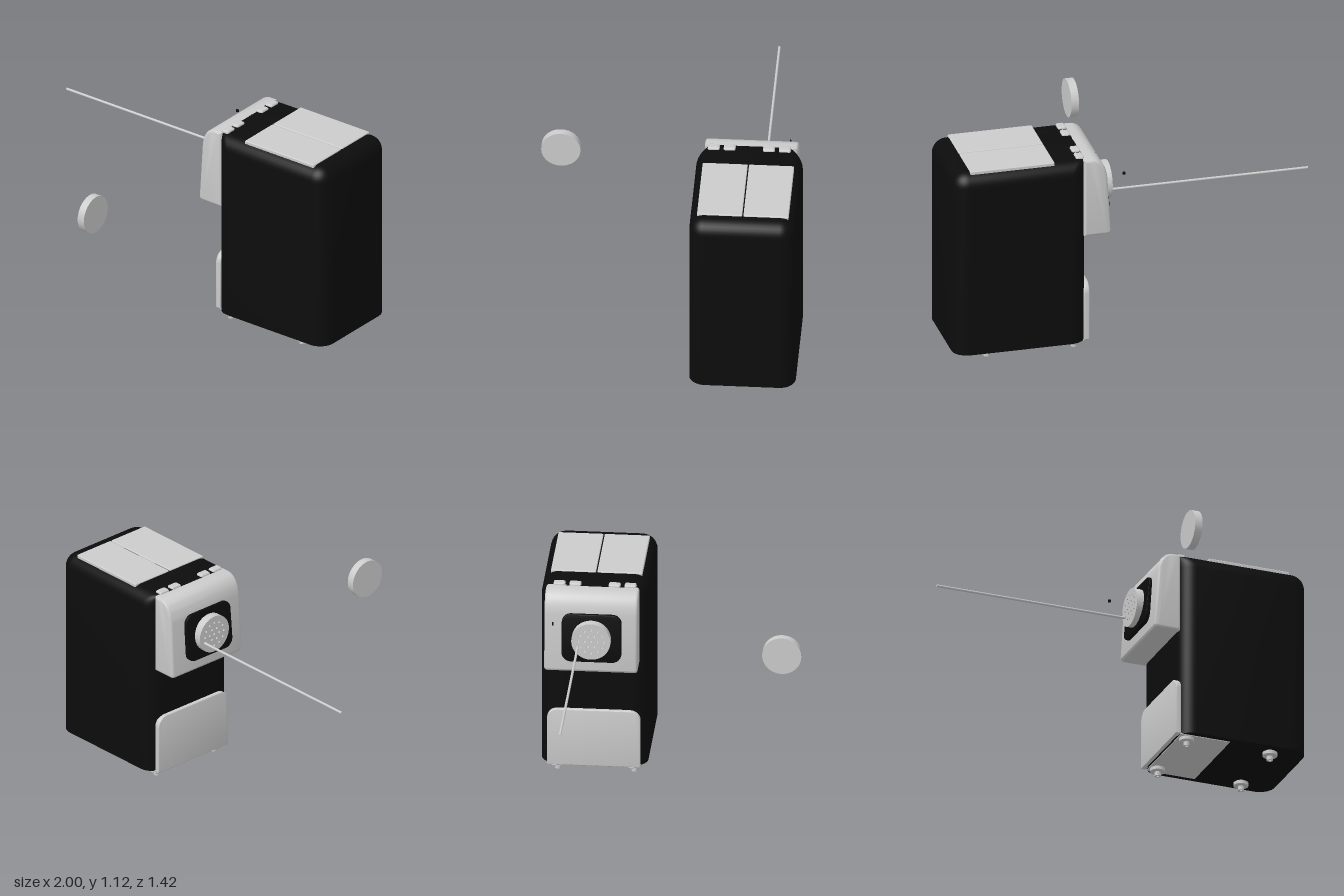
import * as THREE from 'three';
import { toCreasedNormals } from 'three/addons/utils/BufferGeometryUtils.js';
import { RoundedBoxGeometry } from 'three/addons/geometries/RoundedBoxGeometry.js';

export function createModel() {
  const model = new THREE.Group();
  const grey = new THREE.MeshStandardMaterial({ color: 0xcccccc });
  const black = new THREE.MeshStandardMaterial({ color: 0x0c0c0c });
  const midZ = -0.425;

  const add = (name, geometry, material, x = 0, y = 0, z = 0) => {
    const mesh = new THREE.Mesh(geometry, material);
    mesh.name = name;
    mesh.position.set(x, y, z);
    model.add(mesh);
    return mesh;
  };

  // Box given by its two corners, with rounded edges
  const block = (name, material, [x0, y0, z0], [x1, y1, z1], r) =>
    add(name, new RoundedBoxGeometry(x1 - x0, y1 - y0, z1 - z0, 3, r), material,
      (x0 + x1) / 2, (y0 + y1) / 2, (z0 + z1) / 2);

  // Rounded rectangle centred on the origin, separate bottom and top radii
  const roundedRect = (w, h, rb, rt) => {
    const s = new THREE.Shape();
    const a = w / 2, b = h / 2, H = Math.PI / 2;
    s.moveTo(-a + rb, -b);
    s.lineTo(a - rb, -b);
    s.absarc(a - rb, -b + rb, rb, -H, 0);
    s.lineTo(a, b - rt);
    s.absarc(a - rt, b - rt, rt, 0, H);
    s.lineTo(-a + rt, b);
    s.absarc(-a + rt, b - rt, rt, H, 2 * H);
    s.lineTo(-a, -b + rb);
    s.absarc(-a + rb, -b + rb, rb, 2 * H, 3 * H);
    return s;
  };

  // Slab whose outline lies across x, with its thickness along x
  const sideSlab = (shape, depth, bevel) => {
    const g = new THREE.ExtrudeGeometry(shape, {
      depth: depth - 2 * bevel, curveSegments: 24, bevelEnabled: bevel > 0,
      bevelSize: bevel, bevelOffset: -bevel, bevelThickness: bevel, bevelSegments: 3,
    });
    g.translate(0, 0, bevel - depth / 2);
    g.rotateY(-Math.PI / 2);
    return toCreasedNormals(g, 0.6);
  };

  // Case: stacked rounded outlines, the top edge rounded on three sides
  const caseGeometry = () => {
    const x0 = 0.27, x1 = 1, z0 = -0.71, z1 = -0.14, bottom = 0.055, top = 1.11;
    const R = 0.085, fillet = 0.08, seg = 8, arcs = 8;
    const rings = [[0, bottom]];
    for (let i = 0; i <= arcs; i++) {
      const t = (i / arcs) * Math.PI / 2;
      rings.push([fillet * (1 - Math.cos(t)), top - fillet + fillet * Math.sin(t)]);
    }
    const pos = [], idx = [];
    const n = 4 * (seg + 1);
    for (const [inset, y] of rings) {
      const r = R - inset;
      const corners = [[x1 - inset - r, z1 - inset - r], [x0 + r, z1 - inset - r],
        [x0 + r, z0 + inset + r], [x1 - inset - r, z0 + inset + r]];
      corners.forEach(([cx, cz], c) => {
        for (let i = 0; i <= seg; i++) {
          const a = (c + i / seg) * Math.PI / 2;
          pos.push(cx + r * Math.cos(a), y, cz + r * Math.sin(a));
        }
      });
    }
    for (let k = 0; k < rings.length - 1; k++) {
      for (let i = 0; i < n; i++) {
        const a = k * n + i, b = k * n + (i + 1) % n;
        idx.push(a, a + n, b, b, a + n, b + n);
      }
    }
    // Bottom and top caps
    const cx = (x0 + x1) / 2, base = pos.length / 3, last = (rings.length - 1) * n;
    pos.push(cx, bottom, midZ, cx, top, midZ);
    for (let i = 0; i < n; i++) {
      const j = (i + 1) % n;
      idx.push(base, i, j, base + 1, last + j, last + i);
    }
    const g = new THREE.BufferGeometry();
    g.setAttribute('position', new THREE.Float32BufferAttribute(pos, 3));
    g.setIndex(idx);
    return toCreasedNormals(g, 0.6);
  };
  add('case', caseGeometry(), black);

  // Lids and buttons on top
  block('lidBack', grey, [0.44, 1.08, -0.67], [0.905, 1.117, midZ - 0.003], 0.006);
  block('lidFront', grey, [0.44, 1.08, midZ + 0.003], [0.905, 1.117, -0.18], 0.006);
  for (const z of [-0.61, -0.525, -0.315, -0.23]) {
    block('button', grey, [0.27, 1.095, z - 0.032], [0.315, 1.122, z + 0.032], 0.01);
  }

  // Head: slanted side profile swept across the depth
  const p = new THREE.Shape();
  p.moveTo(0.28, 0.665);
  p.lineTo(0.155, 0.665);
  p.quadraticCurveTo(0.13, 0.665, 0.131, 0.69);
  p.lineTo(0.15, 0.99);
  p.bezierCurveTo(0.155, 1.07, 0.19, 1.11, 0.24, 1.11);
  p.lineTo(0.28, 1.11);
  const head = new THREE.ExtrudeGeometry(p, {
    depth: 0.47, curveSegments: 12, bevelSize: 0.015, bevelOffset: -0.015,
    bevelThickness: 0.015, bevelSegments: 4,
  });
  add('head', toCreasedNormals(head, 0.6), grey, 0, 0, -0.665);

  // Tilted dark plate on the head
  const plate = add('headPlate', sideSlab(roundedRect(0.32, 0.27, 0.05, 0.05), 0.024, 0.004),
    black, 0.135, 0.87, midZ);
  plate.rotation.z = -0.09;

  // Perforated dial
  const dial = new THREE.Shape().absarc(0, 0, 0.105, 0, Math.PI * 2);
  for (const [count, radius] of [[1, 0], [6, 0.034], [12, 0.068]]) {
    for (let i = 0; i < count; i++) {
      const a = (i / count) * Math.PI * 2;
      dial.holes.push(new THREE.Path().absarc(
        radius * Math.cos(a), radius * Math.sin(a), 0.006, 0, Math.PI * 2, true));
    }
  }
  add('dial', sideSlab(dial, 0.045, 0), grey, 0.107, 0.87, midZ);

  // Detached disc, rod and small pin
  const disc = new THREE.CylinderGeometry(0.105, 0.105, 0.042, 48).rotateZ(Math.PI / 2);
  add('detachedDisc', disc, grey, 0.022, 0.87, 0.605);
  const rod = new THREE.CylinderGeometry(0.007, 0.007, 1.1, 16).rotateZ(Math.PI / 2);
  add('rod', rod, grey, -0.45, 0.838, -0.495);
  add('pin', new THREE.BoxGeometry(0.014, 0.014, 0.008), black, 0.048, 0.988, -0.625);

  // Lower side panel and underside cover
  add('sidePanel', sideSlab(roundedRect(0.5, 0.33, 0.004, 0.06), 0.03, 0.004),
    grey, 0.265, 0.22, midZ);
  block('bottomCover', grey, [0.28, 0.05, -0.675], [0.56, 0.06, -0.175], 0.002);

  // Feet with hollow tips
  const footProfile = [[0.008, 0.03], [0.008, 0.005], [0.017, 0.005], [0.017, 0.028],
    [0.036, 0.028], [0.04, 0.032], [0.04, 0.05], [0.03, 0.05], [0.03, 0.056]]
    .map(([r, y]) => new THREE.Vector2(r, y - 0.005));
  const foot = toCreasedNormals(new THREE.LatheGeometry(footProfile, 24), 0.5);
  const footMaterial = new THREE.MeshStandardMaterial({ color: 0xcccccc, side: THREE.DoubleSide });
  for (const x of [0.325, 0.805]) {
    for (const z of [-0.212, -0.622]) add('foot', foot, footMaterial, x, 0.003, z);
  }
  return model;
}
